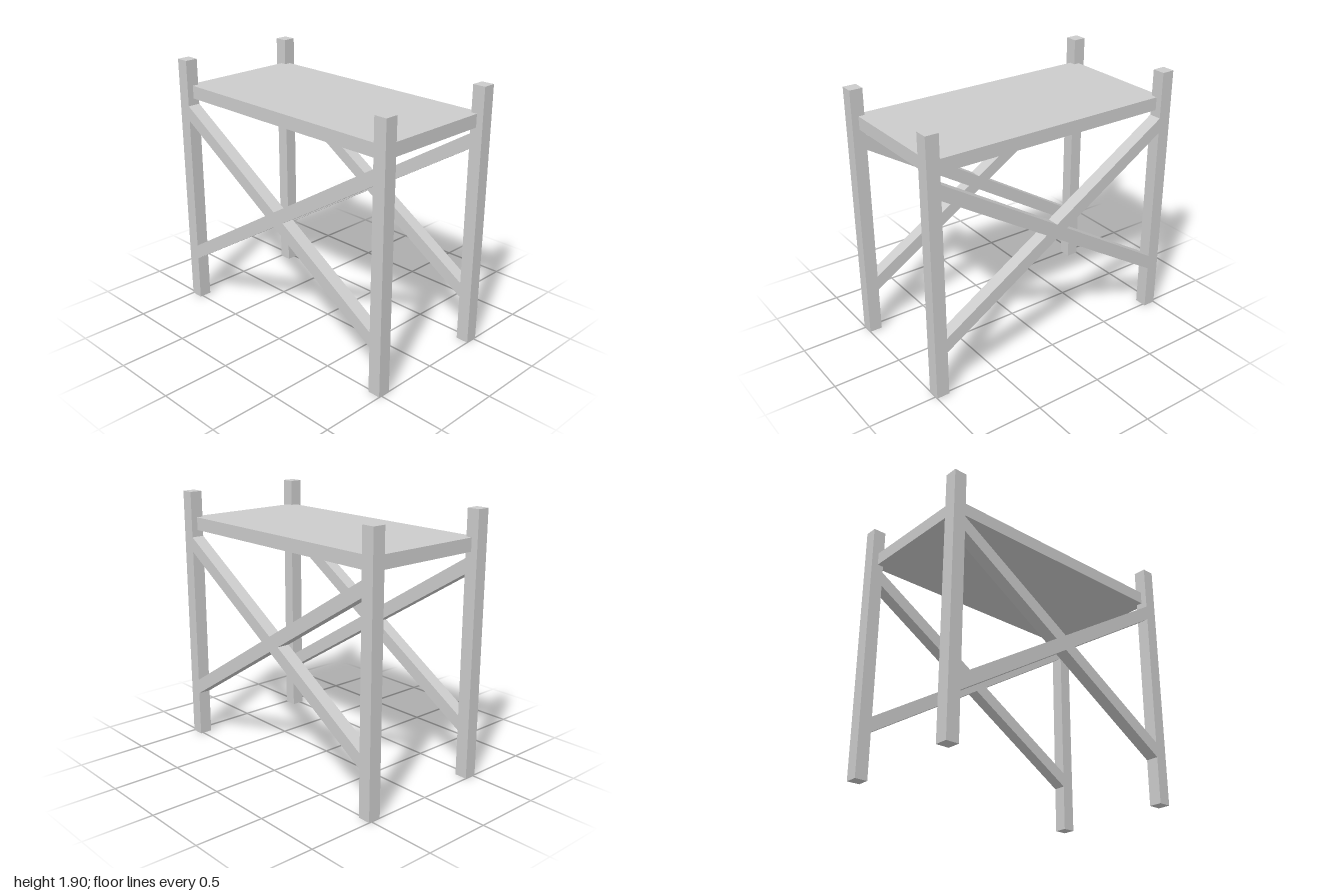
import * as THREE from 'three';

const LEG = 0.095, HEIGHT = 1.905, HALF_X = 1, HALF_Z = 0.522;

export function createModel() {
  const group = new THREE.Group();
  const material = new THREE.MeshStandardMaterial({ color: 0xcccccc, flatShading: true });

  const add = (name, geometry, x, y, z) => {
    const mesh = new THREE.Mesh(geometry, material);
    mesh.name = name;
    mesh.position.set(x, y, z);
    group.add(mesh);
  };

  // Seat slab, notched into the legs
  add('seat', new THREE.BoxGeometry(1.9, 0.095, 0.95), 0, 1.667, 0);

  // Four square posts that rise above the seat
  const legGeometry = new THREE.BoxGeometry(LEG, HEIGHT, LEG);
  for (const [side, sx] of [['right', -1], ['left', 1]]) {
    for (const [end, sz] of [['Front', 1], ['Back', -1]]) {
      add(`${side}${end}Leg`, legGeometry,
        sx * (HALF_X - LEG / 2), HEIGHT / 2, sz * (HALF_Z - LEG / 2));
    }
  }

  // X-shaped brace between the legs: the outline of two crossing bars
  const reach = HALF_X - LEG;  // inner face of the legs
  const rise = 0.56;           // height gained from the crossing to a leg
  const half = 0.055;          // half the vertical thickness of a bar
  const notch = half * reach / rise;
  const outline = [
    [0, half], [reach, rise + half], [reach, rise - half], [notch, 0],
    [reach, -rise + half], [reach, -rise - half], [0, -half],
    [-reach, -rise - half], [-reach, -rise + half], [-notch, 0],
    [-reach, rise - half], [-reach, rise + half],
  ].map(([x, y]) => new THREE.Vector2(x, y));
  const braceGeometry = new THREE.ExtrudeGeometry(new THREE.Shape(outline),
    { depth: LEG, bevelEnabled: false });
  add('frontCrossBrace', braceGeometry, 0, 0.955, HALF_Z - LEG);
  add('backCrossBrace', braceGeometry, 0, 0.955, -HALF_Z);

  return group;
}
